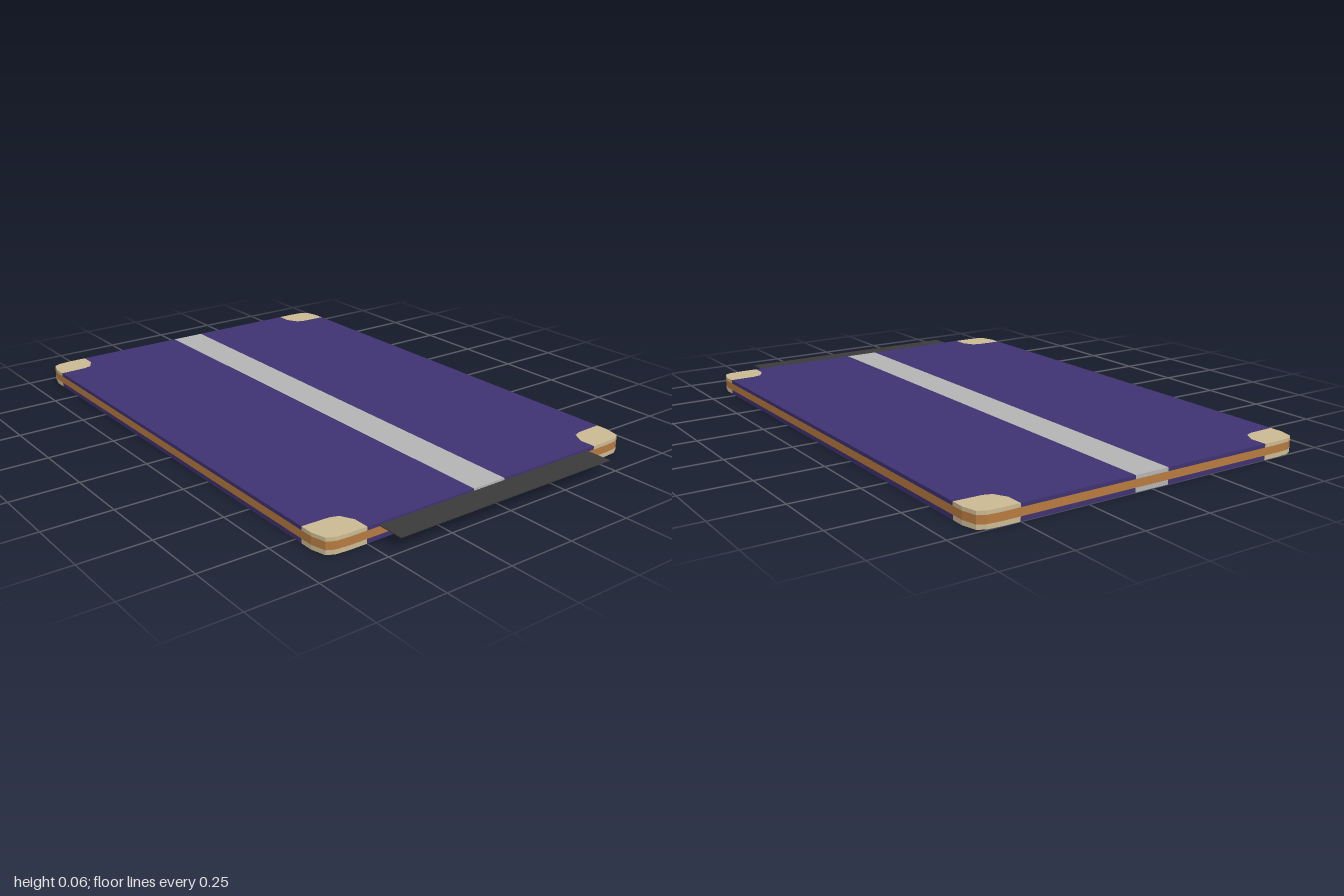
import * as THREE from 'three';

const X0 = -1, X1 = 0.9, Z = 0.655, STRIPE = 0.067;
const H = 0.057, LOW = 0.016, HIGH = 0.044;

const material = (color) => new THREE.MeshStandardMaterial({ color, flatShading: true });
const purple = material(0x3e3272), silver = material(0xb3b3b3), tan = material(0xcab992);
const orange = material(0xb57a3f), dark = material(0x3a3a3a);

// Corner profiles as distances in from the x edge and the z edge
const outer = [[0, 0.09], [0.004, 0.04], [0.018, 0.014], [0.07, 0]];
const inner = [[0, 0.155], [0.06, 0.155], [0.105, 0.13], [0.115, 0.1], [0.118, 0]];

// Places a corner profile at the given corner; sx and sz are -1 or 1
function atCorner(profile, sx, sz) {
  return profile.map(([u, v]) => [sx > 0 ? X1 - u : X0 + u, sz * (Z - v)]);
}

// Flat slab with an outline of [x, z] points between two heights
function slab(name, points, y0, y1, mat) {
  const shape = new THREE.Shape(points.map(([x, z]) => new THREE.Vector2(x, -z)));
  const geo = new THREE.ExtrudeGeometry(shape, { depth: y1 - y0, bevelEnabled: false });
  geo.rotateX(-Math.PI / 2).translate(0, y0, 0);
  const mesh = new THREE.Mesh(geo, mat);
  mesh.name = name;
  return mesh;
}

// One cover: two coloured fields, a centre stripe and four corner caps
function cover(name, y0, y1) {
  const group = new THREE.Group();
  group.name = name;
  group.add(slab('centreStripe',
    [[X0, -STRIPE], [X1, -STRIPE], [X1, STRIPE], [X0, STRIPE]], y0, y1, silver));
  for (const sz of [-1, 1]) {
    const field = [
      [X0, sz * STRIPE], ...atCorner(inner, -1, sz),
      ...atCorner(inner, 1, sz).reverse(), [X1, sz * STRIPE],
    ];
    group.add(slab('coverField', field, y0, y1, purple));
    for (const sx of [-1, 1]) {
      const cap = [...atCorner(outer, sx, sz), ...atCorner(inner, sx, sz).reverse()];
      group.add(slab('cornerCap', cap, y0, y1, tan));
    }
  }
  return group;
}

export function createModel() {
  const model = new THREE.Group();
  model.name = 'board';

  // Core layer, visible as a band around the edge
  const outline = [
    ...atCorner(outer, -1, -1), ...atCorner(outer, 1, -1).reverse(),
    ...atCorner(outer, 1, 1), ...atCorner(outer, -1, 1).reverse(),
  ];
  model.add(slab('core', outline, LOW, HIGH, orange));

  model.add(cover('bottomCover', 0, LOW), cover('topCover', HIGH, H));

  // Thin flap sticking out of one end
  const flap = new THREE.Mesh(new THREE.BoxGeometry(0.12, 0.003, 0.92), dark);
  flap.name = 'endFlap';
  flap.position.set(0.94, 0.048, -0.005);
  model.add(flap);

  return model;
}
